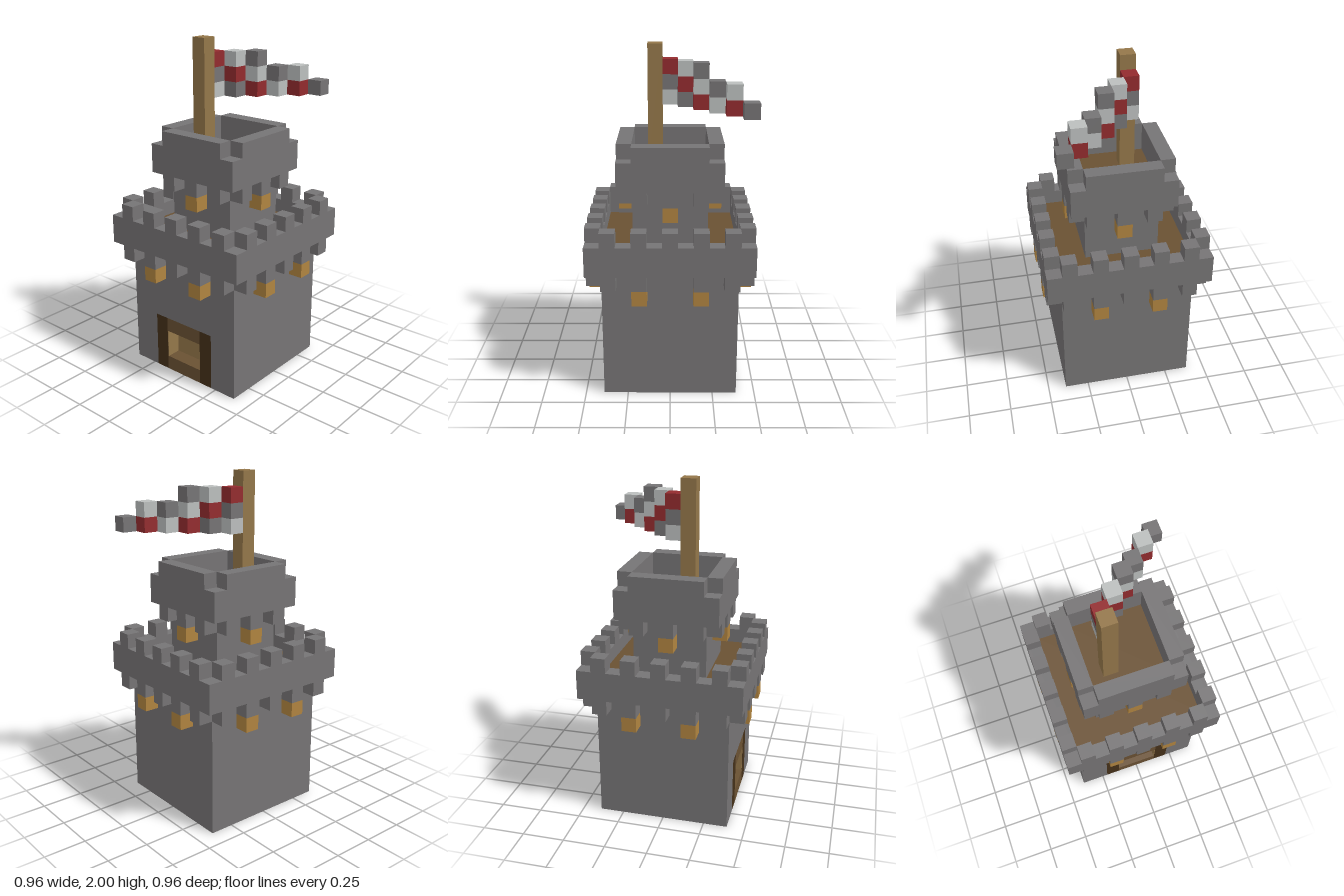
import * as THREE from 'three';

const U = 2 / 23; // one block

function mat(name, color) {
  const m = new THREE.MeshStandardMaterial({ color });
  m.name = name;
  return m;
}

export function createModel() {
  const root = new THREE.Group();
  root.name = 'castleTower';
  const stone = mat('stone grey', 0x767475);
  const plank = mat('floor brown', 0x6a5133);
  const darkWood = mat('dark wood', 0x453019);
  const oak = mat('pole wood', 0x94774a);
  const lampMat = mat('lamp amber', 0xb08440);
  const red = mat('flag red', 0x932b2e);
  const white = mat('flag light grey', 0xbcbfbe);

  // Box between two corners given in blocks
  function box(name, m, x0, x1, y0, y1, z0, z1, parent = root) {
    const g = new THREE.BoxGeometry((x1 - x0) * U, (y1 - y0) * U, (z1 - z0) * U);
    const mesh = new THREE.Mesh(g, m);
    mesh.position.set((x0 + x1) / 2 * U, (y0 + y1) / 2 * U, (z0 + z1) / 2 * U);
    mesh.name = name;
    parent.add(mesh);
    return mesh;
  }
  // Single block centred on cell (x, z), with its base at layer y
  const cell = (name, m, x, y, z, parent) =>
    box(name, m, x - 0.5, x + 0.5, y, y + 1, z - 0.5, z + 0.5, parent);

  // Square ring of walls, one block thick, with half width h
  function ring(name, h, y0, y1) {
    const group = new THREE.Group();
    group.name = name;
    for (const s of [-1, 1]) {
      const a = Math.min(s * h, s * (h - 1)), b = Math.max(s * h, s * (h - 1));
      box('wall', stone, -h, h, y0, y1, a, b, group);
      box('wall', stone, a, b, y0, y1, -h + 1, h - 1, group);
    }
    root.add(group);
  }
  // Same blocks repeated along all four sides at distance r
  function onFourSides(name, m, r, y, offsets) {
    const group = new THREE.Group();
    group.name = name;
    for (const o of offsets)
      for (const [x, z] of [[o, r], [o, -r], [r, o], [-r, o]]) cell(name, m, x, y, z, group);
    root.add(group);
  }

  // Main keep: three plain walls and one with the doorway at -x
  box('frontWall', stone, -4.5, 4.5, 0, 9, 3.5, 4.5);
  box('backWall', stone, -4.5, 4.5, 0, 9, -4.5, -3.5);
  box('sideWall', stone, 3.5, 4.5, 0, 9, -3.5, 3.5);
  box('doorWallTop', stone, -4.5, -3.5, 4, 9, -3.5, 3.5);
  for (const s of [-1, 1]) {
    const zs = [s * 2.5, s * 3.5].sort((a, b) => a - b);
    box('doorWallSide', stone, -4.5, -3.5, 0, 4, zs[0], zs[1]);
    box('doorPost', darkWood, -4.5, -3.5, 0, 4, s * 2 - 0.5, s * 2 + 0.5);
    box('doorLining', oak, -4.49, -3.5, 1, 3, s * 1.47 - 0.03, s * 1.47 + 0.03);
  }
  box('doorSill', plank, -4.5, -3.5, 0, 1, -1.5, 1.5);
  box('doorLintel', plank, -4.5, -3.5, 3, 4, -1.5, 1.5);
  box('door', oak, -3.5, -3.42, 1, 3, -1.5, 1.5);

  // Ground floor around a small central pit
  box('floor', plank, -3.5, 3.5, 0, 1, 0.5, 3.5);
  box('floor', plank, -3.5, 3.5, 0, 1, -3.5, -0.5);
  box('floor', plank, -3.5, -0.5, 0, 1, -0.5, 0.5);
  box('floor', plank, 0.5, 3.5, 0, 1, -0.5, 0.5);
  for (const s of [-1, 1]) {
    box('pitLining', stone, s * 0.47 - 0.03, s * 0.47 + 0.03, 0, 1, -0.5, 0.5);
    box('pitLining', stone, -0.44, 0.44, 0, 1, s * 0.47 - 0.03, s * 0.47 + 0.03);
  }
  box('pitTop', stone, -0.5, 0.5, 1, 1.1, -0.5, 0.5);

  // Lower battlement
  onFourSides('lowerLamp', lampMat, 5, 7, [-2, 2]);
  onFourSides('lowerCorbel', stone, 5, 8, [-4, -2, 0, 2, 4]);
  ring('lowerParapet', 5.5, 9, 11);
  onFourSides('merlon', stone, 5, 11, [-4, -2, 0, 2, 4]);
  box('lowerDeck', plank, -4.5, 4.5, 9, 10, -4.5, 4.5);

  // Upper tower
  box('upperTower', stone, -2.5, 2.5, 10, 14, -2.5, 2.5);
  onFourSides('upperLamp', lampMat, 3, 12, [0]);
  onFourSides('upperCorbel', stone, 3, 13, [-2, 0, 2]);
  ring('upperParapet', 3.5, 14, 16);
  for (const s of [-3, 3]) {
    box('upperRim', stone, -2.5, 2.5, 16, 17, s - 0.5, s + 0.5);
    box('upperRim', stone, s - 0.5, s + 0.5, 16, 17, -2.5, 2.5);
  }
  box('upperDeck', plank, -2.5, 2.5, 14, 15, -2.5, 2.5);

  // Flag pole and the diagonal checkered flag
  box('flagPole', oak, -1.5, -0.5, 15, 23, -1.5, -0.5);
  const flag = new THREE.Group();
  flag.name = 'flag';
  const colors = { r: red, w: white, s: stone };
  ['wsrwrs', 'srwsw', 'rws'].forEach((row, j) =>
    [...row].forEach((c, i) => cell('flagBlock', colors[c], i, 19 + j, i - 1, flag)));
  root.add(flag);

  return root;
}
